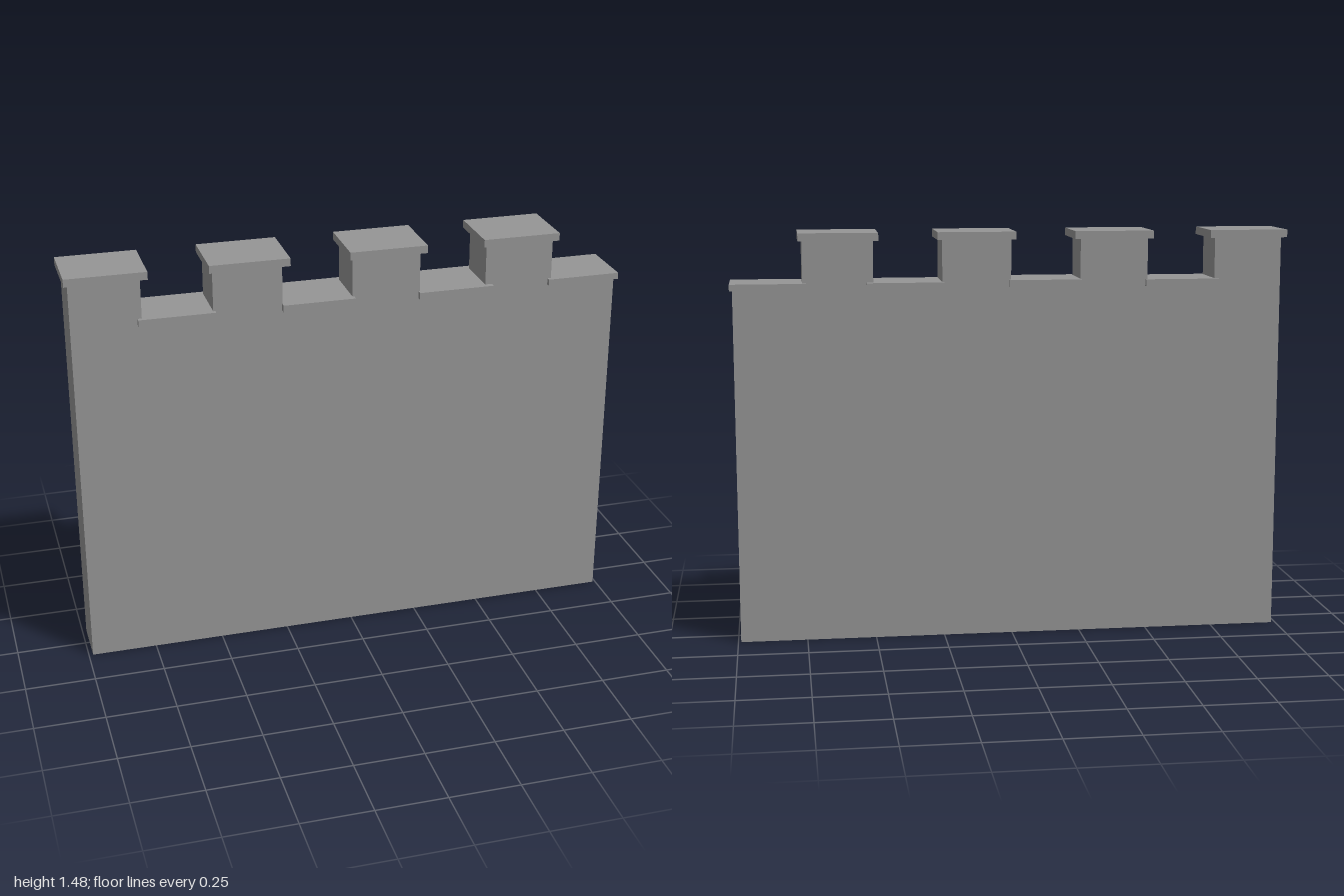
import * as THREE from 'three';

export function createModel() {
  const model = new THREE.Group();
  const stone = new THREE.MeshStandardMaterial({ color: 0x969696 });
  stone.name = 'grey stone';

  const bottoms = 1.285;
  const merlons = [[-0.985, -0.74], [-0.493, -0.248], [0.003, 0.25], [0.495, 0.745]];

  // Wall with its battlements as one crenellated outline
  const outline = new THREE.Shape();
  outline.moveTo(-0.985, 0);
  for (const [left, right] of merlons) {
    if (left > -0.98) outline.lineTo(left, bottoms);
    outline.lineTo(left, 1.45);
    outline.lineTo(right, 1.45);
    outline.lineTo(right, bottoms);
  }
  outline.lineTo(0.99, bottoms);
  outline.lineTo(0.99, 0);
  outline.closePath();
  const wallGeometry = new THREE.ExtrudeGeometry(outline, { depth: 0.176, bevelEnabled: false });
  wallGeometry.translate(0, 0, -0.088);
  const wall = new THREE.Mesh(wallGeometry, stone);
  wall.name = 'crenellatedWall';
  model.add(wall);

  // Flat slab given by its x, y and z ranges
  function slab(name, [x0, x1], [y0, y1], [z0, z1]) {
    const mesh = new THREE.Mesh(new THREE.BoxGeometry(x1 - x0, y1 - y0, z1 - z0), stone);
    mesh.position.set((x0 + x1) / 2, (y0 + y1) / 2, (z0 + z1) / 2);
    mesh.name = name;
    model.add(mesh);
  }

  // Overhanging caps on the raised blocks
  const caps = [[-1, -0.717], [-0.508, -0.224], [-0.012, 0.268], [0.477, 0.759]];
  caps.forEach((x, i) => slab(`cap${i + 1}`, x, [1.447, 1.475], [-0.115, 0.115]));

  // Thin sills across the gaps and the open end
  const sills = [
    [[-0.755, -0.485], [1.275, 1.3], [-0.108, 0.104]],
    [[-0.25, 0.01], [1.278, 1.303], [-0.113, 0.11]],
    [[0.245, 0.52], [1.272, 1.298], [-0.113, 0.108]],
    [[0.732, 1], [1.275, 1.298], [-0.108, 0.104]],
  ];
  sills.forEach((range, i) => slab(`sill${i + 1}`, ...range));

  return model;
}
